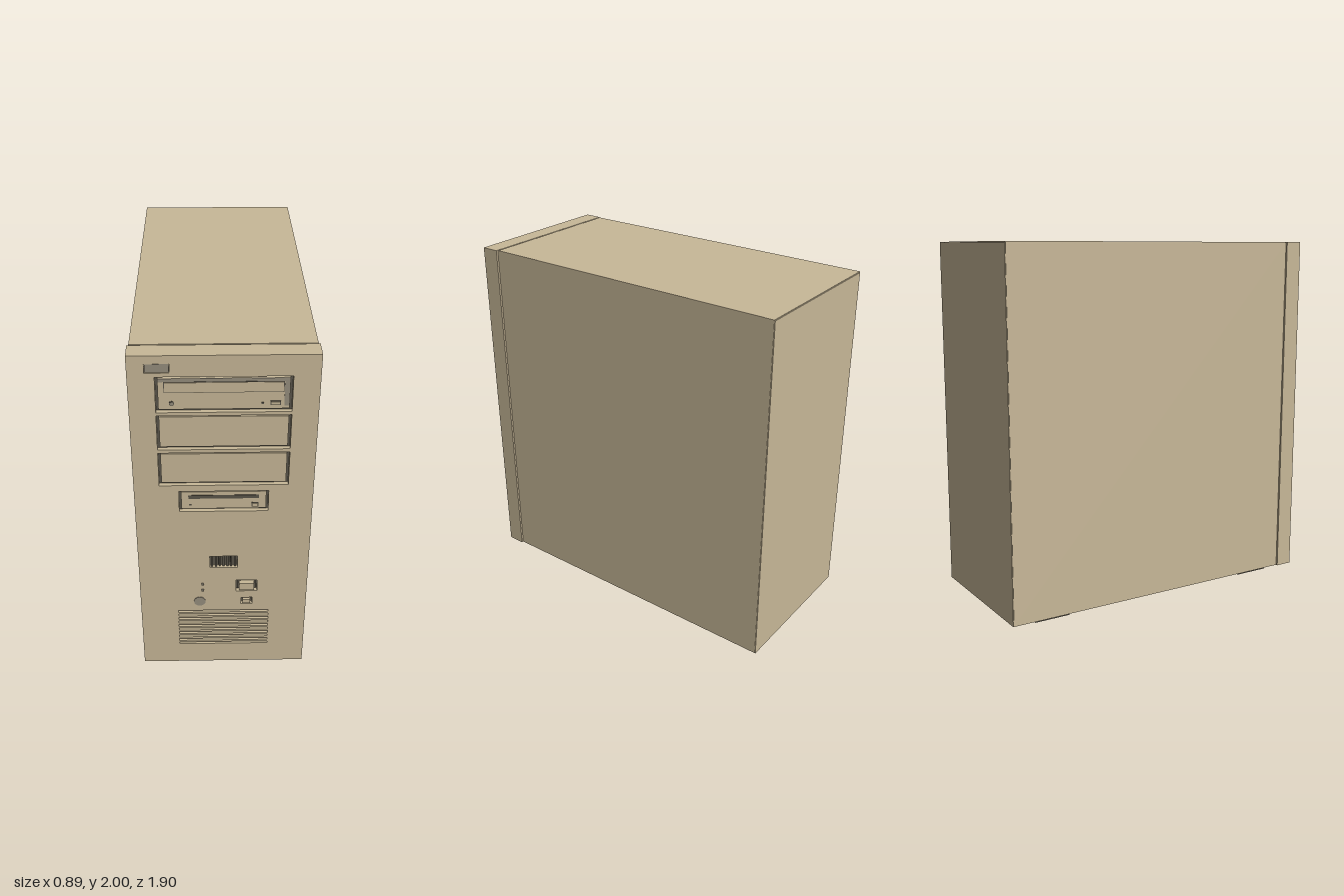
import * as THREE from 'three';

const mat = (name, color) => Object.assign(new THREE.MeshStandardMaterial({ color }), { name });

export function createModel() {
  const beige = mat('beige plastic', 0xc8b898);
  const dark = mat('dark grey', 0x5a554a);
  const grey = mat('warm grey', 0x968e7e);

  const root = new THREE.Group();
  root.name = 'towerComputer';

  // Box given by its extents
  const box = (name, m, x0, x1, y0, y1, z0, z1, parent = root) => {
    const mesh = new THREE.Mesh(new THREE.BoxGeometry(x1 - x0, y1 - y0, z1 - z0), m);
    mesh.position.set((x0 + x1) / 2, (y0 + y1) / 2, (z0 + z1) / 2);
    mesh.name = name;
    parent.add(mesh);
    return mesh;
  };
  // Short cylinder facing forward
  const disc = (name, m, x, y, r, z0, z1) => {
    const mesh = new THREE.Mesh(new THREE.CylinderGeometry(r, r, z1 - z0, 16), m);
    mesh.rotation.x = Math.PI / 2;
    mesh.position.set(x, y, (z0 + z1) / 2);
    mesh.name = name;
    root.add(mesh);
  };

  // Case with a slightly raised wrap-around cover
  box('caseBody', beige, -0.432, 0.432, 0.032, 1.995, -0.947, 0.85);
  box('caseCoverTop', beige, -0.435, 0.435, 1.985, 2, -0.944, 0.832);
  for (const s of [-1, 1]) {
    const x = s * 0.431;
    box('caseCoverSide', beige, x - 0.004, x + 0.004, 0.036, 1.99, -0.944, 0.832);
  }

  // Feet
  for (const s of [-1, 1]) for (const z of [-0.688, 0.688])
    box('foot', dark, s * 0.3125 - 0.0625, s * 0.3125 + 0.0625, 0, 0.033, z - 0.103, z + 0.103);

  // Openings in the front bezel: [x0, x1, y0, y1]
  const bays = [
    [-0.317, 0.317, 1.698, 1.889],
    [-0.317, 0.317, 1.487, 1.68],
    [-0.317, 0.317, 1.273, 1.468],
  ];
  const floppy = [-0.222, 0.222, 1.11, 1.236];
  const display = [-0.072, 0.072, 0.733, 0.811];
  const power = [0.067, 0.178, 0.565, 0.643];
  const reset = [0.093, 0.153, 0.472, 0.517];
  const badge = [-0.363, -0.248, 1.91, 1.957];
  const slots = [];
  for (let i = 0; i < 10; i++) {
    const y = 0.418 - i * 0.0269;
    slots.push([-0.243, 0.243, y - 0.007, y + 0.007]);
  }
  const openings = [...bays, floppy, display, power, reset, badge, ...slots];

  // Front bezel: solid back and a pierced face plate
  const FACE = 0.94, FLOOR = 0.915;
  box('bezelBack', beige, -0.443, 0.443, 0.032, 2, 0.84, FLOOR);
  const rect = (P, [x0, x1, y0, y1]) => {
    const p = new P();
    p.moveTo(x0, y0).lineTo(x1, y0).lineTo(x1, y1).lineTo(x0, y1).closePath();
    return p;
  };
  const plate = rect(THREE.Shape, [-0.443, 0.443, 0.032, 2]);
  plate.holes = openings.map((o) => rect(THREE.Path, o));
  const face = new THREE.Mesh(
    new THREE.ExtrudeGeometry(plate, { depth: FACE - FLOOR, bevelEnabled: false }), beige);
  face.position.z = FLOOR;
  face.name = 'bezelFace';
  root.add(face);

  // Dark floor inside every opening
  const liner = (name, m, [x0, x1, y0, y1]) =>
    box(name, m, x0, x1, y0, y1, FLOOR - 0.004, FLOOR + 0.002);
  [...bays, floppy, power, reset].forEach((o) => liner('openingShadow', dark, o));
  slots.forEach((o) => liner('ventSlot', dark, o));

  // Panel filling an opening with a gap all around
  const fill = (name, [x0, x1, y0, y1], gap, z1, m = beige) =>
    box(name, m, x0 + gap, x1 - gap, y0 + gap, y1 - gap, FLOOR, z1);

  // Optical drive
  fill('opticalDrive', bays[0], 0.012, 0.93);
  box('opticalDriveTopTrim', grey, -0.303, 0.303, 1.858, 1.876, 0.929, 0.932);
  box('opticalDriveSideTrim', grey, 0.28, 0.303, 1.725, 1.858, 0.929, 0.932);
  box('discTrayGap', dark, -0.278, 0.278, 1.801, 1.859, 0.929, 0.933);
  box('discTray', beige, -0.274, 0.274, 1.805, 1.856, 0.929, 0.936);
  disc('headphoneJack', dark, -0.243, 1.743, 0.012, 0.928, 0.933);
  disc('volumeWheel', grey, -0.243, 1.743, 0.008, 0.928, 0.935);
  box('driveLight', dark, 0.174, 0.186, 1.737, 1.745, 0.929, 0.933);
  box('ejectButtonGap', dark, 0.216, 0.264, 1.729, 1.752, 0.929, 0.932);
  box('ejectButton', beige, 0.22, 0.26, 1.733, 1.748, 0.929, 0.936);

  // Blank bay covers
  for (const b of bays.slice(1)) fill('bayCover', b, 0.012, 0.93);

  // Floppy drive
  fill('floppyDrive', floppy, 0.011, 0.93);
  box('floppySlot', dark, -0.176, 0.176, 1.184, 1.205, 0.928, 0.932);
  box('floppyLight', dark, -0.174, -0.162, 1.143, 1.151, 0.928, 0.933);
  box('floppyEjectGap', dark, 0.138, 0.174, 1.132, 1.158, 0.928, 0.932);
  box('floppyEject', beige, 0.142, 0.17, 1.136, 1.154, 0.928, 0.937);

  // Name badge, left blank
  fill('badge', badge, 0.002, 0.937, grey);

  // Display window with vertical ribs
  liner('displayWindow', dark, display);
  for (let i = 0; i < 7; i++) {
    const x = -0.06 + i * 0.02;
    box('displayRib', dark, x - 0.005, x + 0.005, display[2], display[3], FLOOR, 0.93);
  }

  // Buttons, lights and lock
  fill('powerButtonFrame', power, 0.008, 0.925, dark);
  fill('powerButton', power, 0.016, 0.95);
  fill('resetButton', reset, 0.01, 0.947);
  for (const y of [0.62, 0.577]) box('statusLight', grey, -0.117, -0.105, y - 0.006, y + 0.006, 0.935, 0.948);
  disc('keyLock', grey, -0.127, 0.494, 0.031, 0.93, 0.943);

  return root;
}
